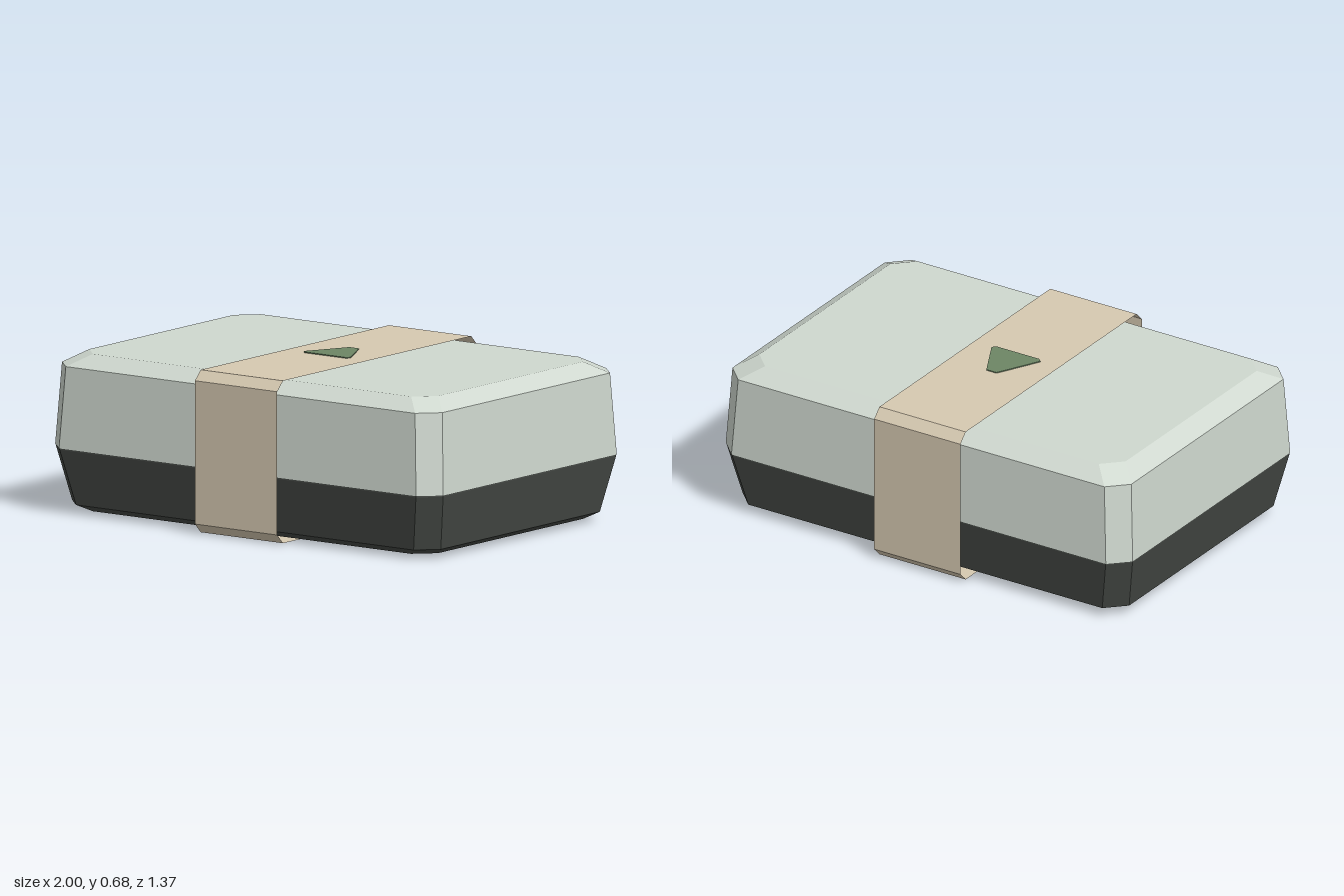
import * as THREE from 'three';

const material = (name, color, extra = {}) => {
  const m = new THREE.MeshStandardMaterial({ color, flatShading: true, ...extra });
  m.name = name;
  return m;
};

// Octagonal outline: a rectangle of half sizes x, z with cut corners
function cutRect(x, z, c) {
  return [
    [x, z - c], [x - c, z], [c - x, z], [-x, z - c],
    [-x, c - z], [c - x, -z], [x - c, -z], [x, c - z],
  ];
}

// Closed solid through stacked octagons, each given as [y, half x, half z]
function loft(rings, cut) {
  const loops = rings.map(([y, x, z]) => cutRect(x, z, cut).map(([px, pz]) => [px, y, pz]));
  const pos = [];
  const tri = (a, b, c) => pos.push(...a, ...b, ...c);
  for (let r = 0; r < loops.length - 1; r++) {
    const low = loops[r], high = loops[r + 1];
    for (let i = 0; i < 8; i++) {
      const j = (i + 1) % 8;
      tri(low[i], high[i], low[j]);
      tri(low[j], high[i], high[j]);
    }
  }
  const bottom = loops[0], top = loops[loops.length - 1];
  for (let i = 1; i < 7; i++) {
    tri(bottom[0], bottom[i], bottom[i + 1]);
    tri(top[0], top[i + 1], top[i]);
  }
  const geometry = new THREE.BufferGeometry();
  geometry.setAttribute('position', new THREE.Float32BufferAttribute(pos, 3));
  geometry.computeVertexNormals();
  return geometry;
}

// Open band wrapped round the box, running along x
function bandGeometry(halfWidth, halfHeight, halfDepth, cut) {
  const loop = cutRect(halfDepth, halfHeight, cut); // pairs of z, y
  const pos = [];
  loop.forEach(([z0, y0], i) => {
    const [z1, y1] = loop[(i + 1) % 8];
    const w = halfWidth;
    pos.push(-w, y0, z0, w, y0, z0, w, y1, z1);
    pos.push(-w, y0, z0, w, y1, z1, -w, y1, z1);
  });
  const geometry = new THREE.BufferGeometry();
  geometry.setAttribute('position', new THREE.Float32BufferAttribute(pos, 3));
  geometry.computeVertexNormals();
  return geometry;
}

export function createModel() {
  const group = new THREE.Group();
  const add = (name, geometry, mat) => {
    const mesh = new THREE.Mesh(geometry, mat);
    mesh.name = name;
    group.add(mesh);
    return mesh;
  };

  // Dark tray, widening upwards
  add('tray', loft([
    [0.012, 0.9, 0.577], [0.04, 0.95, 0.625], [0.272, 0.998, 0.673], [0.28, 0.998, 0.673],
  ], 0.08), material('charcoal', 0x464a46));

  // Pale lid with bevelled top
  add('lid', loft([
    [0.278, 1.0, 0.675], [0.62, 0.98, 0.655], [0.67, 0.9, 0.575],
  ], 0.08), material('pale sage', 0xcfd8cf));

  // Paper sleeve
  const sleeve = add('sleeve', bandGeometry(0.212, 0.34, 0.685, 0.04),
    material('kraft paper', 0xd6c9b1, { side: THREE.DoubleSide }));
  sleeve.position.y = 0.34;

  // Blunt triangle lying on the sleeve
  const outline = [[-0.025, 0.125], [-0.12, -0.06], [-0.105, -0.075],
    [0.105, -0.075], [0.12, -0.06], [0.025, 0.125]];
  const shape = new THREE.Shape(outline.map(([x, y]) => new THREE.Vector2(x, y)));
  const badge = add('triangleBadge',
    new THREE.ExtrudeGeometry(shape, { depth: 0.004, bevelEnabled: false }),
    material('leaf green', 0x6d8665));
  badge.rotation.x = -Math.PI / 2;
  badge.position.y = 0.68;

  return group;
}
